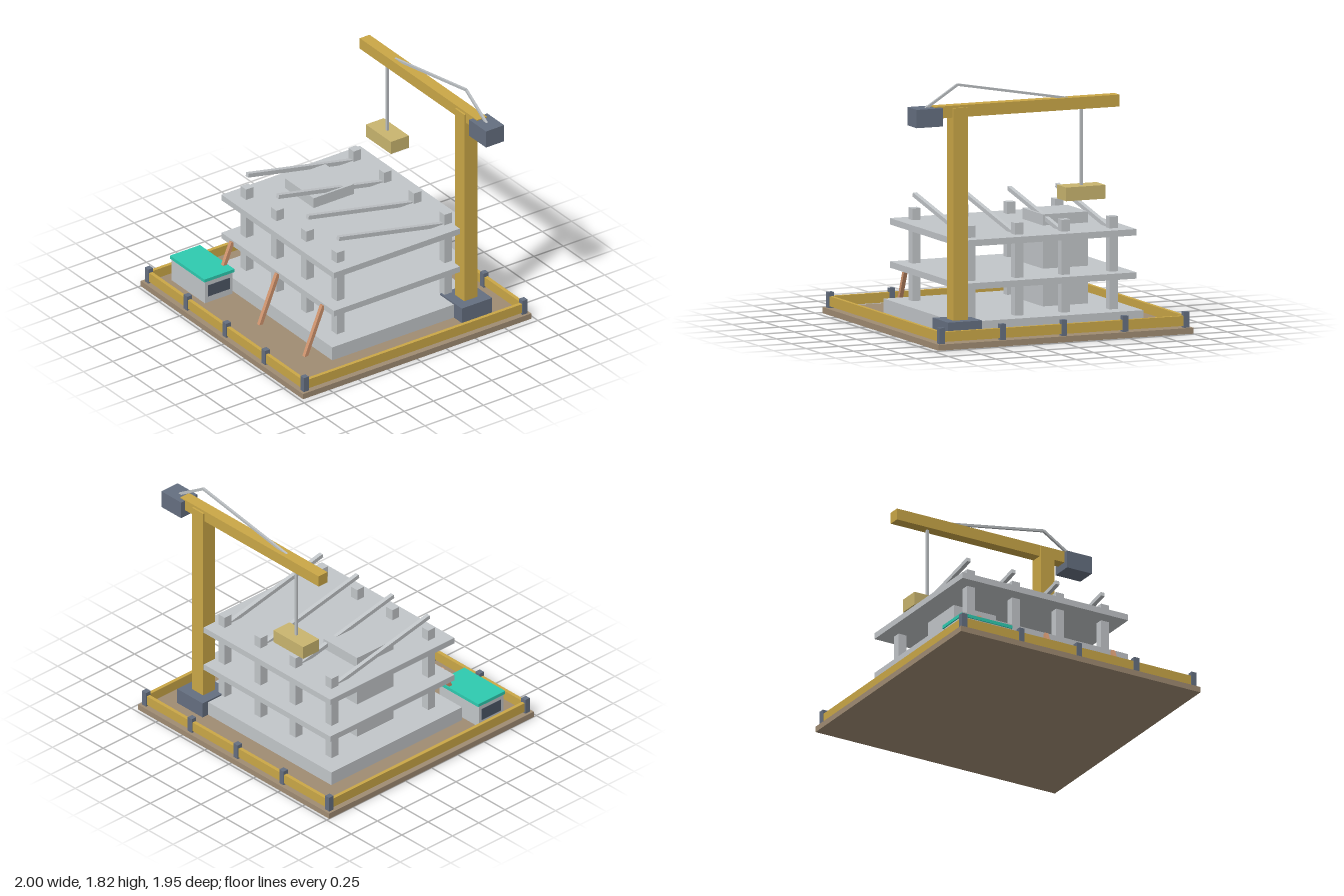
import * as THREE from 'three';

const mat = (name, color) => {
  const m = new THREE.MeshStandardMaterial({ color });
  m.name = name;
  return m;
};

export function createModel() {
  const model = new THREE.Group();
  model.name = 'constructionSite';

  const earth = mat('earth', 0xa08c73);
  const yellow = mat('craneYellow', 0xcaa747);
  const concrete = mat('concrete', 0xc2c6c9);
  const steel = mat('darkSteel', 0x656f80);
  const cable = mat('cableGrey', 0xbcc0c3);
  const timber = mat('paleTimber', 0xc9b56f);
  const copper = mat('propCopper', 0xd0956f);
  const teal = mat('tealRoof', 0x2ecbb0);
  const glass = mat('darkGlass', 0x4c5665);

  // Box given by its extents along each axis
  const box = (name, material, [x0, x1], [y0, y1], [z0, z1], parent = model) => {
    const mesh = new THREE.Mesh(new THREE.BoxGeometry(x1 - x0, y1 - y0, z1 - z0), material);
    mesh.position.set((x0 + x1) / 2, (y0 + y1) / 2, (z0 + z1) / 2);
    mesh.name = name;
    parent.add(mesh);
    return mesh;
  };
  // Square bar running between two points
  const beam = (name, material, a, b, size, parent = model) => {
    const from = new THREE.Vector3(...a), to = new THREE.Vector3(...b);
    const mesh = new THREE.Mesh(new THREE.BoxGeometry(size, size, from.distanceTo(to)), material);
    mesh.position.copy(from).lerp(to, 0.5);
    mesh.lookAt(to);
    mesh.name = name;
    parent.add(mesh);
    return mesh;
  };
  const around = (c, width) => [c - width / 2, c + width / 2];
  const group = (name) => {
    const g = new THREE.Group();
    g.name = name;
    model.add(g);
    return g;
  };

  // Ground plate
  box('ground', earth, [-1, 0.953], [0, 0.042], [-0.977, 0.977]);

  // Perimeter fence: four rails, with posts along front and back
  const fence = group('fence');
  const left = -0.958, right = 0.914, depth = 0.936;
  for (const z of [-depth, depth]) {
    box('fenceRail', yellow, [left, right], [0.055, 0.125], around(z, 0.027), fence);
    for (let i = 0; i < 5; i++) {
      const x = left + (right - left) * i / 4;
      box('fencePost', steel, around(x, 0.042), [0.04, 0.154], around(z, 0.042), fence);
    }
  }
  for (const x of [left, right])
    box('fenceSideRail', yellow, around(x, 0.027), [0.055, 0.125], [-depth, depth], fence);

  // Building: foundation, two floors, stair core, columns and leaning beams
  const building = group('building');
  box('foundation', concrete, [-0.737, 0.686], [0.04, 0.146], [-0.711, 0.537], building);
  for (const y of [0.367, 0.672])
    box('floorSlab', concrete, [-0.698, 0.654], [y, y + 0.045], [-0.684, 0.5], building);
  box('stairCore', concrete, [-0.518, -0.172], [0.14, 0.795], [-0.26, 0.085], building);
  for (const x of [-0.57, -0.203, 0.155, 0.523]) {
    for (const z of [-0.55, 0.372])
      box('column', concrete, around(x, 0.064), [0.14, 0.8], around(z, 0.064), building);
    beam('leaningBeam', concrete, [x, 0.705, -0.54], [x, 0.893, 0.372], 0.03, building);
  }

  // Slanted props against the first floor
  for (const x of [-0.57, -0.022, 0.523])
    beam('prop', copper, [x, 0.4, 0.503], [x, 0.035, 0.655], 0.028);

  // Site cabin with overhanging roof and end windows
  const cabin = group('cabin');
  box('cabinBody', concrete, [-0.883, -0.483], [0.04, 0.215], [0.56, 0.796], cabin);
  box('cabinRoof', teal, [-0.892, -0.476], [0.214, 0.238], [0.547, 0.804], cabin);
  for (const x of [-0.883, -0.483])
    box('cabinWindow', glass, around(x, 0.008), [0.09, 0.178], [0.585, 0.77], cabin);

  // Tower crane
  const crane = group('crane');
  const cx = 0.652, cz = -0.634;
  box('craneBase', steel, around(cx, 0.26), [0.04, 0.158], around(cz, 0.26), crane);
  box('craneMast', yellow, around(cx, 0.112), [0.15, 1.655], around(cz, 0.112), crane);
  box('craneJib', yellow, [-0.57, 0.843], [1.588, 1.672], around(cz, 0.084), crane);
  box('counterweight', steel, [0.797, 1], [1.536, 1.665], around(cz, 0.155), crane);
  beam('jibTie', cable, [-0.205, 1.663, cz], [cx, 1.812, cz], 0.017, crane);
  beam('counterTie', cable, [cx, 1.812, cz], [0.907, 1.652, cz], 0.017, crane);
  box('hoistCable', cable, around(-0.297, 0.016), [1.04, 1.6], around(cz, 0.016), crane);
  box('hoistedLoad', timber, around(-0.297, 0.302), [0.95, 1.047], around(cz, 0.153), crane);

  return model;
}
